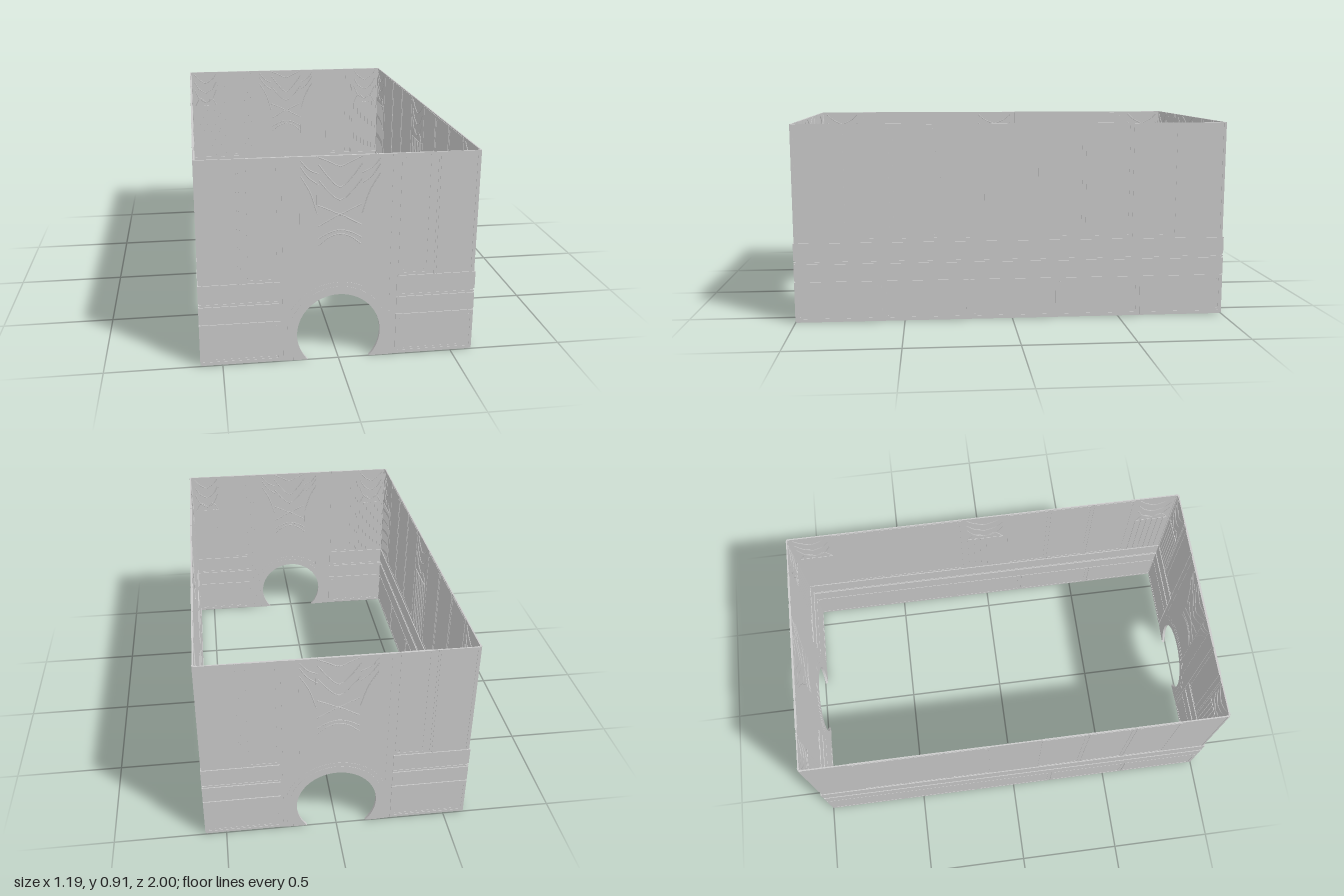
import * as THREE from 'three';

const H = 0.91, HX = 0.595, HZ = 1;
const CORE = 0.003, BAND = 0.007;
const DOOR_Y = 0.12, DOOR_R = 0.18;
const mat = new THREE.MeshStandardMaterial({ color: 0xcccccc });

// Every wall is drawn in its own plane: u along, y up, +z outward, relief on both faces.
function add(group, name, geo) {
  const mesh = new THREE.Mesh(geo, mat);
  mesh.name = name;
  group.add(mesh);
  return mesh;
}

function slab(group, name, u0, u1, y0, y1, half, w = 0) {
  const geo = new THREE.BoxGeometry(u1 - u0, y1 - y0, 2 * half);
  add(group, name, geo).position.set((u0 + u1) / 2, (y0 + y1) / 2, w);
}

function plate(group, name, shape, half) {
  const geo = new THREE.ExtrudeGeometry(shape, { depth: 2 * half, bevelEnabled: false, curveSegments: 40 });
  add(group, name, geo).position.z = -half;
}

function rectPath(path, u0, u1, y0, y1) {
  path.moveTo(u0, y0);
  path.lineTo(u1, y0);
  path.lineTo(u1, y1);
  path.lineTo(u0, y1);
  path.closePath();
  return path;
}

// Recessed field inside a raised border, with a stud in each corner
function panel(group, name, u0, u1, y0, y1, half, rim = 0.008) {
  const border = rectPath(new THREE.Shape(), u0, u1, y0, y1);
  border.holes.push(rectPath(new THREE.Path(), u0 + rim, u1 - rim, y0 + rim, y1 - rim));
  plate(group, name + 'Border', border, half);
  slab(group, name + 'Field', u0 + rim, u1 - rim, y0 + rim, y1 - rim, half - 0.0015);
  for (const u of [u0 + 0.02, u1 - 0.02]) {
    for (const y of [y0 + 0.02, y1 - 0.02]) slab(group, name + 'Stud', u - 0.002, u + 0.002, y - 0.002, y + 0.002, half - 0.0005);
  }
}

function ridge(group, name, points, w, r = 0.0025) {
  const curve = new THREE.CatmullRomCurve3(points.map(([u, y]) => new THREE.Vector3(u, y, w)));
  add(group, name, new THREE.TubeGeometry(curve, 10, r, 4));
}

// Two horizontal bands with a recessed groove and thin bead between them
function bands(group, u0, u1) {
  slab(group, 'lowerBand', u0, u1, 0.195, 0.272, BAND);
  slab(group, 'grooveBead', u0, u1, 0.278, 0.283, BAND - 0.002);
  slab(group, 'upperBand', u0, u1, 0.292, 0.37, BAND);
}

// Fluted pilaster with fan-shaped leaves, on the inner face only
function innerPilaster(group, center, width) {
  const w = -CORE - 0.001;
  const left = center - width / 2;
  for (let i = 0; i < 6; i++) {
    const u = left + width * (i + 0.5) / 6;
    slab(group, 'flute', u - width * 0.05, u + width * 0.05, 0.38, 0.7, 0.0025, w);
  }
  for (const s of [-1, 1]) {
    for (let i = 0; i < 3; i++) {
      const y = 0.72 + i * 0.06;
      ridge(group, 'pilasterLeaf', [[center, y], [center + s * width * 0.28, y + 0.025], [center + s * width * 0.47, y + 0.08 - i * 0.012]], w);
    }
    ridge(group, 'pilasterCurl', [[center, 0.72], [center + s * width * 0.25, 0.745], [center + s * width * 0.47, 0.7]], w);
  }
}

// Wall outline with the round opening cut through its foot
function doorwayShape(halfWidth, height) {
  const a = Math.asin(-DOOR_Y / DOOR_R);
  const foot = DOOR_R * Math.cos(a);
  const s = new THREE.Shape();
  s.moveTo(foot, 0);
  s.lineTo(halfWidth, 0);
  s.lineTo(halfWidth, height);
  s.lineTo(-halfWidth, height);
  s.lineTo(-halfWidth, 0);
  s.lineTo(-foot, 0);
  s.absarc(0, DOOR_Y, DOOR_R, Math.PI - a, a, true);
  return s;
}

// Arched surround: straight jambs below, curve above, opening inside
function archShape(jamb, spring, top) {
  const a = Math.asin(-DOOR_Y / DOOR_R);
  const foot = DOOR_R * Math.cos(a);
  const r = top - DOOR_Y;
  const b = Math.asin((spring - DOOR_Y) / r);
  const s = new THREE.Shape();
  s.moveTo(foot, 0);
  s.lineTo(jamb, 0);
  s.lineTo(jamb, spring);
  s.absarc(0, DOOR_Y, r, b, Math.PI - b, false);
  s.lineTo(-jamb, spring);
  s.lineTo(-jamb, 0);
  s.lineTo(-foot, 0);
  s.absarc(0, DOOR_Y, DOOR_R, Math.PI - a, a, true);
  return s;
}

// Leaf ornament above the doorway
function portalLeaves(group) {
  const chevrons = [
    [0.905, 0.885, 0.865], [0.875, 0.815, 0.775], [0.81, 0.755, 0.72],
    [0.7, 0.68, 0.66], [0.61, 0.635, 0.657], [0.555, 0.58, 0.59], [0.525, 0.56, 0.573],
  ];
  const sides = [
    [[0.165, 0.895], [0.13, 0.855], [0.09, 0.835]],
    [[0.165, 0.87], [0.13, 0.82], [0.09, 0.79]],
    [[0.165, 0.83], [0.125, 0.76], [0.093, 0.66]],
  ];
  for (const w of [-0.005, 0.005]) {
    for (const [outer, mid, inner] of chevrons) {
      ridge(group, 'leafChevron', [[-0.09, outer], [-0.045, mid], [0, inner], [0.045, mid], [0.09, outer]], w);
    }
    for (const s of [-1, 1]) {
      for (const pts of sides) ridge(group, 'sideLeaf', pts.map(([u, y]) => [s * u, y]), w);
    }
  }
}

function endWall(name) {
  const g = new THREE.Group();
  g.name = name;
  plate(g, 'wallCore', doorwayShape(HX - 0.007, H), CORE);
  plate(g, 'portalSlab', doorwayShape(0.24, H), 0.005);
  plate(g, 'archSurround', archShape(0.222, 0.21, 0.355), 0.006);
  plate(g, 'archMoulding', archShape(0.195, 0.18, 0.335), BAND);
  for (const [u, y] of [[-0.165, 0.29], [-0.095, 0.33], [0.22, 0.22]]) {
    slab(g, 'portalRib', u - 0.002, u + 0.002, y, H, 0.006);
  }
  portalLeaves(g);
  for (const s of [-1, 1]) {
    const span = (a, b) => (s > 0 ? [a, b] : [-b, -a]);
    panel(g, 'plinthPanel', ...span(0.25, HX), 0.005, 0.19, BAND, 0.012);
    slab(g, 'plinthSill', ...span(0.29, 0.55), 0.02, 0.027, 0.0065);
    bands(g, ...span(0.25, HX));
    panel(g, 'wallPanel', ...span(0.255, 0.385), 0.375, H, 0.005);
    for (const u of [0.41, 0.42, 0.575]) slab(g, 'cornerStrip', ...span(u, u + 0.005), 0.37, H, 0.005);
    innerPilaster(g, s * 0.5, 0.14);
  }
  return g;
}

function sideWall(name) {
  const g = new THREE.Group();
  g.name = name;
  slab(g, 'wallCore', -HZ + 0.007, HZ - 0.007, 0, H, CORE);
  for (let i = 0; i < 5; i++) {
    const u = -HZ + i * 0.4;
    panel(g, 'plinthPanel', u + 0.004, u + 0.396, 0.005, 0.19, BAND, 0.012);
  }
  bands(g, -HZ, HZ);
  for (const s of [-1, 1]) {
    for (let i = 0; i < 3; i++) {
      const c = s * (0.225 + i * 0.221);
      panel(g, 'wallPanel', c - 0.105, c + 0.105, 0.38, 0.905, 0.005);
    }
    innerPilaster(g, s * 0.885, 0.18);
    slab(g, 'cornerStrip', s * 0.985 - 0.003, s * 0.985 + 0.003, 0.37, H, 0.005);
  }
  innerPilaster(g, 0, 0.2);
  return g;
}

export function createModel() {
  const model = new THREE.Group();
  model.name = 'roomShell';
  const walls = [endWall('frontWall'), sideWall('leftWall'), endWall('backWall'), sideWall('rightWall')];
  walls.forEach((wall, i) => {
    const angle = i * Math.PI / 2;
    const d = (i % 2 ? HX : HZ) - BAND;
    wall.rotation.y = angle;
    wall.position.set(Math.sin(angle) * d, 0, Math.cos(angle) * d);
    model.add(wall);
  });
  return model;
}
